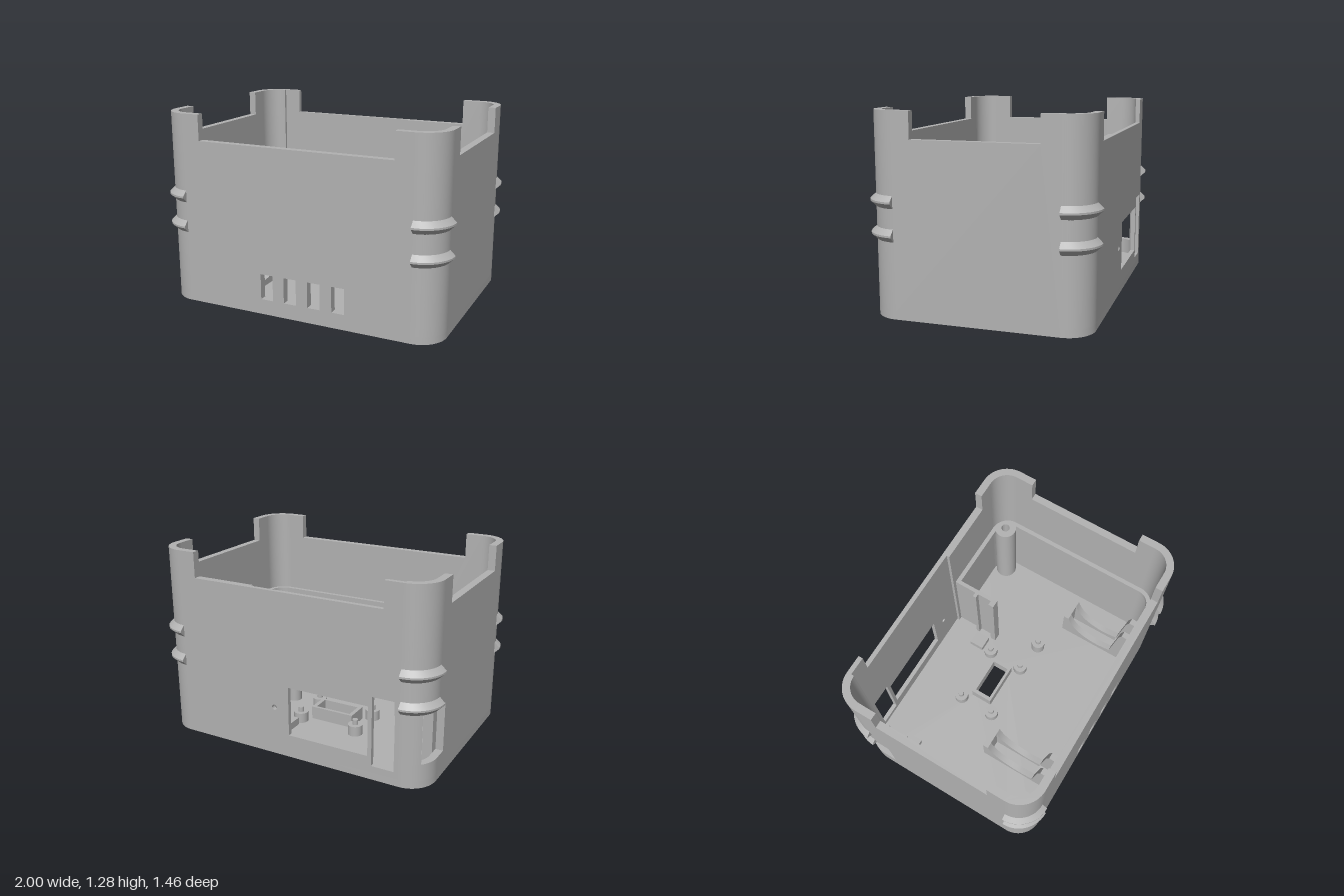
import * as THREE from 'three';
import { toCreasedNormals } from 'three/addons/utils/BufferGeometryUtils.js';

const W = 0.965, D = 0.695, R = 0.175;      // outer half sizes and corner radius
const CX = W - R, CZ = D - R;               // corner centres
const T = 0.05, FLOOR = 0.05, LEDGE = 0.69, RIM = 1.11, TOP = 1.28;

export function createModel() {
  const model = new THREE.Group();
  model.name = 'enclosure';
  const grey = new THREE.MeshStandardMaterial({ color: 0xb2b2b2, side: THREE.DoubleSide });
  grey.name = 'greyPlastic';

  const add = (name, geo, x = 0, y = 0, z = 0) => {
    const mesh = new THREE.Mesh(geo, grey);
    mesh.name = name;
    mesh.position.set(x, y, z);
    model.add(mesh);
    return mesh;
  };
  const box = (name, x0, x1, y0, y1, z0, z1) =>
    add(name, new THREE.BoxGeometry(x1 - x0, y1 - y0, z1 - z0), (x0 + x1) / 2, (y0 + y1) / 2, (z0 + z1) / 2);
  const poly = (pts) => new THREE.Shape(pts.map(p => new THREE.Vector2(...p)));
  const rect = (x0, x1, y0, y1) => poly([[x0, y0], [x1, y0], [x1, y1], [x0, y1]]);
  const extrude = (shape, depth) =>
    toCreasedNormals(new THREE.ExtrudeGeometry(shape, { depth, bevelEnabled: false, curveSegments: 10 }), 0.5);
  // horizontal slab: shape drawn in x, -z
  const slab = (name, shape, y0, y1) => add(name, extrude(shape, y1 - y0).rotateX(-Math.PI / 2), 0, y0, 0);

  // Floor with a flared opening underneath
  const hx = -0.07, hz = 0.145;
  const floorShape = (a, b) => {
    const s = new THREE.Shape();
    s.absarc(CX, CZ, R, 0, Math.PI / 2);
    s.absarc(-CX, CZ, R, Math.PI / 2, Math.PI);
    s.absarc(-CX, -CZ, R, Math.PI, Math.PI * 1.5);
    s.absarc(CX, -CZ, R, Math.PI * 1.5, Math.PI * 2);
    s.holes.push(rect(hx - a, hx + a, hz - b, hz + b));
    return s;
  };
  slab('floor', floorShape(0.22, 0.11), 0, 0.045);
  slab('floorTop', floorShape(0.13, 0.06), 0.045, FLOOR);
  const ring = (a, b, y) => [[-a, y, -b], [a, y, -b], [a, y, b], [-a, y, b]];
  const low = ring(0.22, 0.11, 0), high = ring(0.13, 0.06, 0.045), flare = [];
  for (let i = 0; i < 4; i++) {
    const j = (i + 1) % 4;
    flare.push(...low[i], ...low[j], ...high[j], ...low[i], ...high[j], ...high[i]);
  }
  const flareGeo = new THREE.BufferGeometry();
  flareGeo.setAttribute('position', new THREE.Float32BufferAttribute(flare, 3));
  flareGeo.computeVertexNormals();
  add('openingFlare', flareGeo, hx, 0, -hz);
  const frame = rect(hx - 0.157, hx + 0.157, hz - 0.08, hz + 0.08);
  frame.holes.push(rect(hx - 0.13, hx + 0.13, hz - 0.06, hz + 0.06));
  slab('openingFrame', frame, FLOOR, 0.14);

  // Straight walls with a lowered middle
  const wall = (h, n, holes = [], cut = []) => {
    const s = poly([[-h, FLOOR], [h, FLOOR], ...cut, [h, TOP], [n, TOP], [n, RIM], [-n, RIM], [-n, TOP], [-h, TOP]]);
    s.holes.push(...holes);
    return s;
  };
  const slots = [-0.193, -0.025, 0.144, 0.313].map(x => rect(x - 0.044, x + 0.044, 0.103, 0.275));
  add('frontWall', extrude(wall(CX, 0.67, slots), T), 0, 0, D - T);
  const pinhole = new THREE.Path();
  pinhole.absarc(0.087, 0.33, 0.018, 0, Math.PI * 2);
  const backHoles = [rect(-0.58, -0.018, 0.155, 0.488), rect(-0.758, -0.607, 0.093, 0.555), pinhole];
  add('backWall', extrude(wall(CX, 0.67, backHoles), 0.03), 0, 0, -D);
  add('backWallThickening', extrude(poly([[0.25, FLOOR], [CX, FLOOR], [CX, TOP], [0.67, TOP], [0.67, RIM], [0.25, RIM]]), 0.02),
    0, 0, -D + 0.03);
  const cut = [[CZ, 0.16], [0.42, 0.16], [0.42, 0.49], [CZ, 0.49]];
  add('leftWall', extrude(wall(CZ, 0.4), T).rotateY(Math.PI / 2), W - T);
  add('rightWall', extrude(wall(CZ, 0.4, [], cut), T).rotateY(Math.PI / 2), -W);

  // Corners, each a quarter ring
  const arcShape = (sx, sz, a0, a1, r0, r1) => {
    const s = new THREE.Shape();
    s.absarc(sx * CX, -sz * CZ, r1, a0, a1, false);
    s.absarc(sx * CX, -sz * CZ, r0, a1, a0, true);
    return s;
  };
  const Q = Math.PI / 2;
  const corners = [[1, -1, 0], [-1, -1, Q], [-1, 1, 2 * Q], [1, 1, 3 * Q]];
  const ribProfile = [[0.165, -0.04], [0.175, -0.04], [0.21, -0.006], [0.21, 0.006], [0.175, 0.04], [0.165, 0.04]];
  for (const [sx, sz, a] of corners) {
    const full = arcShape(sx, sz, a, a + Q, R - T, R);
    const open = sx < 0 && sz < 0;          // this corner has a side window
    if (open) {
      slab('cornerBottom', full, FLOOR, 0.16);
      slab('cornerBesideWindow', arcShape(sx, sz, a, a + Q * 0.5, R - T, R), 0.16, 0.49);
      slab('cornerTop', full, 0.49, TOP);
    } else {
      slab('corner', full, FLOOR, TOP);
      slab('cornerLip', arcShape(sx, sz, a, a + Q, R - T - 0.03, R - T), LEDGE - 0.03, LEDGE);
    }
    // Two grip ribs with closed ends
    for (const y of [0.525, 0.73]) {
      const rib = new THREE.Group();
      rib.name = 'gripRib';
      const geo = new THREE.LatheGeometry(ribProfile.map(p => new THREE.Vector2(...p)), 12, 0, Q);
      rib.add(new THREE.Mesh(toCreasedNormals(geo, 0.4), grey));
      for (const turn of [0, -Q]) {
        const cap = new THREE.Mesh(new THREE.ShapeGeometry(poly(ribProfile)), grey);
        cap.rotation.y = turn;
        rib.add(cap);
      }
      rib.children.forEach(m => { m.name = 'ribPart'; });
      rib.position.set(sx * CX, y, sz * CZ);
      rib.rotation.y = a + Q;
      model.add(rib);
    }
  }

  // Inner lip along the straight walls
  const L0 = LEDGE - 0.03;
  box('frontLip', -CX, CX, L0, LEDGE, 0.615, 0.645);
  box('leftLip', 0.885, 0.915, L0, LEDGE, -CZ, CZ);
  box('rightLip', -0.915, -0.885, L0, LEDGE, -0.31, CZ);
  box('backLip', 0.3, CX, L0, LEDGE, -0.645, -0.615);

  // Panel guides, open channels facing each other
  box('leftGuide', 0.275, 0.302, FLOOR, LEDGE, -0.665, -0.31);
  box('rightGuide', -0.915, -0.888, FLOOR, LEDGE, -0.48, -0.31);
  for (const [z0, z1] of [[-0.48, -0.455], [-0.35, -0.31]]) {
    box('leftGuideRail', 0.243, 0.275, FLOOR, LEDGE, z0, z1);
    box('rightGuideRail', -0.888, -0.85, FLOOR, LEDGE, z0, z1);
  }
  box('guidePad', -0.84, -0.74, FLOOR, 0.1, -0.46, -0.352);
  box('guidePad', 0.12, 0.222, FLOOR, 0.1, -0.46, -0.352);

  // Board standoffs with pins
  const standoff = (x, z, top) => {
    add('standoff', new THREE.CylinderGeometry(0.05, 0.05, top - FLOOR, 24), x, (top + FLOOR) / 2, z);
    add('standoffPin', new THREE.CylinderGeometry(0.02, 0.02, 0.035, 16), x, top + 0.0175, z);
  };
  for (const x of [-0.285, 0.14]) for (const z of [-0.285, -0.02]) standoff(x, z, 0.12);
  for (const z of [-0.42, 0.005]) standoff(0.37, z, 0.15);

  // Screw posts in two opposite corners
  const tube = [[0.03, FLOOR], [0.078, FLOOR], [0.078, LEDGE], [0.03, LEDGE], [0.03, FLOOR]].map(p => new THREE.Vector2(...p));
  for (const s of [1, -1]) {
    add('screwPost', toCreasedNormals(new THREE.LatheGeometry(tube, 28), 0.5), s * 0.836, 0, s * -0.566);
  }

  // Curved cradles near the front, each a pair of cheeks tied at the back
  const cheek = new THREE.Shape();
  cheek.moveTo(-0.09, FLOOR);
  cheek.lineTo(-0.09, 0.28);
  cheek.lineTo(-0.13, 0.28);
  cheek.quadraticCurveTo(-0.19, 0.09, -0.4, 0.09);
  cheek.lineTo(-0.5, 0.11);
  cheek.lineTo(-0.54, 0.42);
  cheek.lineTo(-0.56, 0.47);
  cheek.lineTo(-0.61, 0.47);
  cheek.lineTo(-0.61, FLOOR);
  for (const x of [-0.485, 0.69]) {
    for (const x0 of [x - 0.082, x + 0.038]) {
      add('cradleCheek', extrude(cheek, 0.044).rotateY(Q), x0);
    }
    box('cradleBack', x - 0.04, x + 0.04, FLOOR, 0.28, 0.09, 0.13);
    box('cradleFoot', x - 0.04, x + 0.04, FLOOR, 0.11, 0.5, 0.61);
  }
  return model;
}
